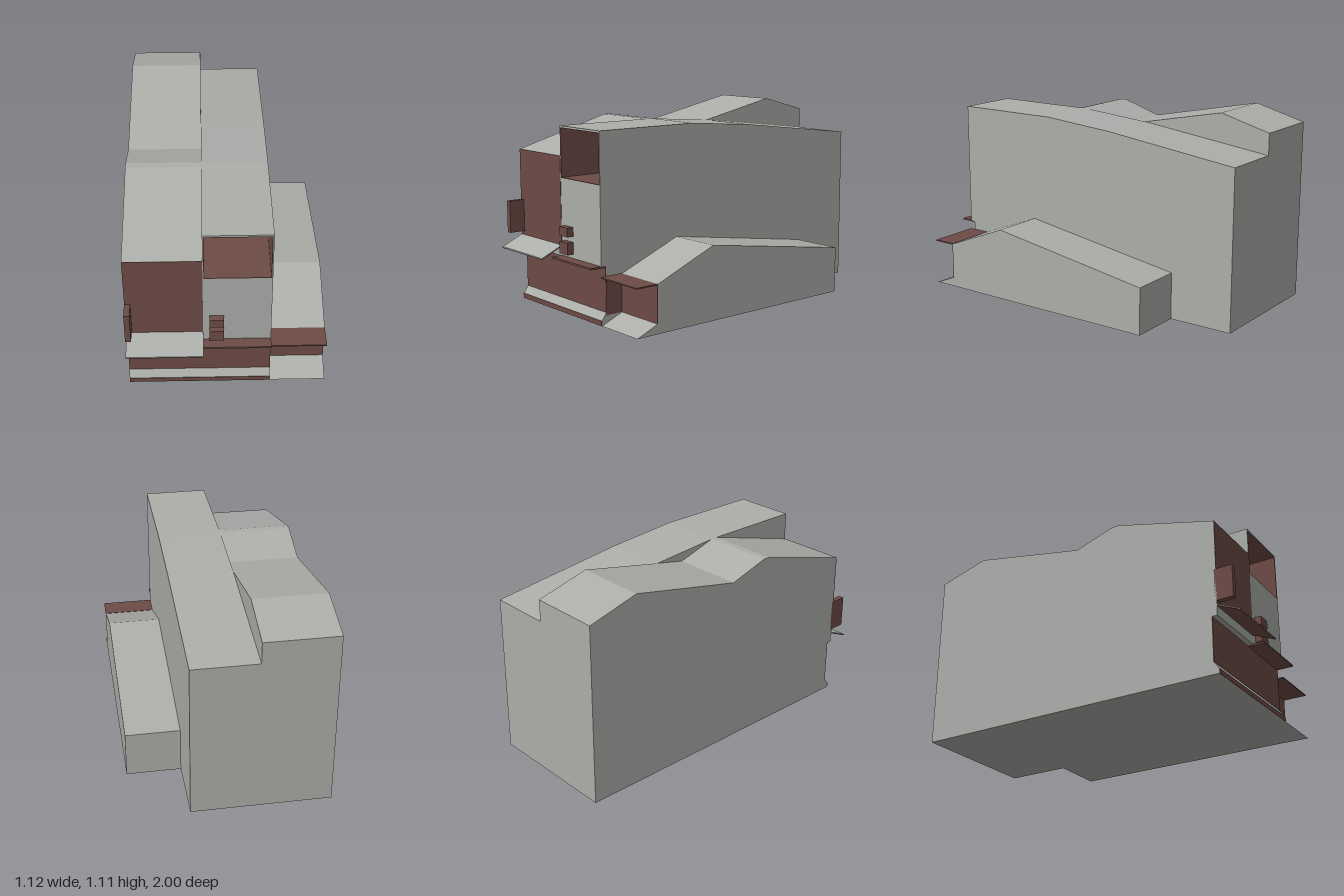
import * as THREE from 'three';

export function createModel() {
  const model = new THREE.Group();
  model.name = 'building';
  const gray = new THREE.MeshStandardMaterial({ color: 0xabaea9 });
  gray.name = 'pale gray';
  const brown = new THREE.MeshStandardMaterial({ color: 0x6d4b46 });
  brown.name = 'red brown';

  // Plan lines shared by the three bays
  const X0 = -0.54, X1 = -0.128, X2 = 0.237, X3 = 0.544;
  const FRONT = 0.87, RECESS = 0.84, WING = 0.737, BACK = -0.99;

  const add = (name, geometry, material) => {
    const mesh = new THREE.Mesh(geometry, material);
    mesh.name = name;
    model.add(mesh);
  };

  // Side profile given as [z, y] points, extruded from xa to xb
  const prism = (name, points, xa, xb, material) => {
    const shape = new THREE.Shape(points.map(([z, y]) => new THREE.Vector2(z, y)));
    const geo = new THREE.ExtrudeGeometry(shape, { depth: xb - xa, bevelEnabled: false });
    geo.rotateY(-Math.PI / 2).translate(xb, 0, 0);
    add(name, geo, material);
  };

  const box = (name, xa, xb, ya, yb, za, zb, material) => {
    const geo = new THREE.BoxGeometry(xb - xa, yb - ya, zb - za);
    geo.translate((xa + xb) / 2, (ya + yb) / 2, (za + zb) / 2);
    add(name, geo, material);
  };

  // Thin brown facing on a wall that looks forward
  const facing = (name, xa, xb, ya, yb, z) =>
    box(name, xa, xb, ya, yb, z - 0.002, z + 0.002, brown);

  // Plinth and recessed ground floor shared by the two tall bays
  const foot = [[BACK, 0], [FRONT, 0], [FRONT, 0.028], [RECESS, 0.07], [RECESS, 0.32], [FRONT, 0.32]];

  // Tall bay with the folded roof
  prism('foldedRoofBay', [...foot, [FRONT, 0.875], [0.275, 1.04], [0.235, 1.04],
    [0, 0.967], [-0.69, 1.11], [BACK, 1.03]], X0, X1, gray);

  // Tower bay, notched at the top for the deep opening
  const cav = { xa: -0.12, xb: 0.229, ya: 0.755, yb: 1.031, z: 0.27 };
  prism('towerBay', [...foot, [FRONT, cav.ya], [cav.z, cav.ya], [cav.z, cav.yb], [FRONT, cav.yb],
    [FRONT, 1.04], [0.24, 1.04], [-0.19, 1.005], [BACK, 0.907]], X1, X2, gray);
  box('towerCheekRight', X1, cav.xa - 0.003, cav.ya, cav.yb, cav.z, FRONT, gray);
  box('towerCheekLeft', cav.xb + 0.003, X2, cav.ya, cav.yb, cav.z, FRONT, gray);

  // Brown lining of the opening
  const t = 0.003;
  box('openingFloor', cav.xa, cav.xb, cav.ya, cav.ya + t, cav.z, FRONT, brown);
  box('openingCeiling', cav.xa, cav.xb, cav.yb - t, cav.yb, cav.z, FRONT, brown);
  box('openingBack', cav.xa, cav.xb, cav.ya, cav.yb, cav.z, cav.z + t, brown);
  box('openingSideRight', cav.xa - t, cav.xa, cav.ya, cav.yb, cav.z, FRONT, brown);
  box('openingSideLeft', cav.xb, cav.xb + t, cav.ya, cav.yb, cav.z, FRONT, brown);

  // Low wing with a ridge and a sloped apron at its foot
  prism('lowWing', [[-0.616, 0], [FRONT, 0], [WING, 0.055], [WING, 0.265],
    [0.355, 0.417], [-0.616, 0.267]], X2, X3, gray);

  // Brown wall facings
  facing('upperWall', X0, X1, 0.375, 0.875, FRONT);
  facing('groundFloorWall', X0, X2, 0.07, 0.318, RECESS);
  facing('plinthBand', X0, X2, 0, 0.028, FRONT);
  facing('wingWall', X2, X3, 0.055, 0.264, WING);
  prism('groundFloorReturn', [[WING, 0.055], [RECESS, 0.055], [RECESS, 0.265], [WING, 0.265]],
    X2 - 0.002, X2 + 0.002, brown);

  // Canopies: a sloped one with gray top and brown underside, and two flat ones
  for (const [name, drop, mat] of [['slopedCanopyTop', 0, gray], ['slopedCanopyUnderside', 0.004, brown]]) {
    prism(name, [[FRONT, 0.378 - drop], [FRONT, 0.382 - drop], [1.002, 0.324 - drop], [1.002, 0.32 - drop]],
      X0, X1, mat);
  }
  box('towerCanopy', X1, X2, 0.314, 0.324, RECESS, 0.936, brown);
  box('wingCanopy', X2, X3, 0.26, 0.267, WING, 0.873, brown);

  // Projecting fin and small boxes on the facade
  box('wallFin', X0, X0 + 0.031, 0.403, 0.586, FRONT - 0.01, 0.965, brown);
  for (const [ya, yb] of [[0.347, 0.414], [0.446, 0.496]]) {
    box('facadeBox', -0.094, -0.017, ya, yb, FRONT - 0.01, 0.909, brown);
  }

  // The whole building stands slightly turned
  model.rotation.y = -0.02;
  const root = new THREE.Group();
  root.name = 'model';
  root.add(model);
  return root;
}
